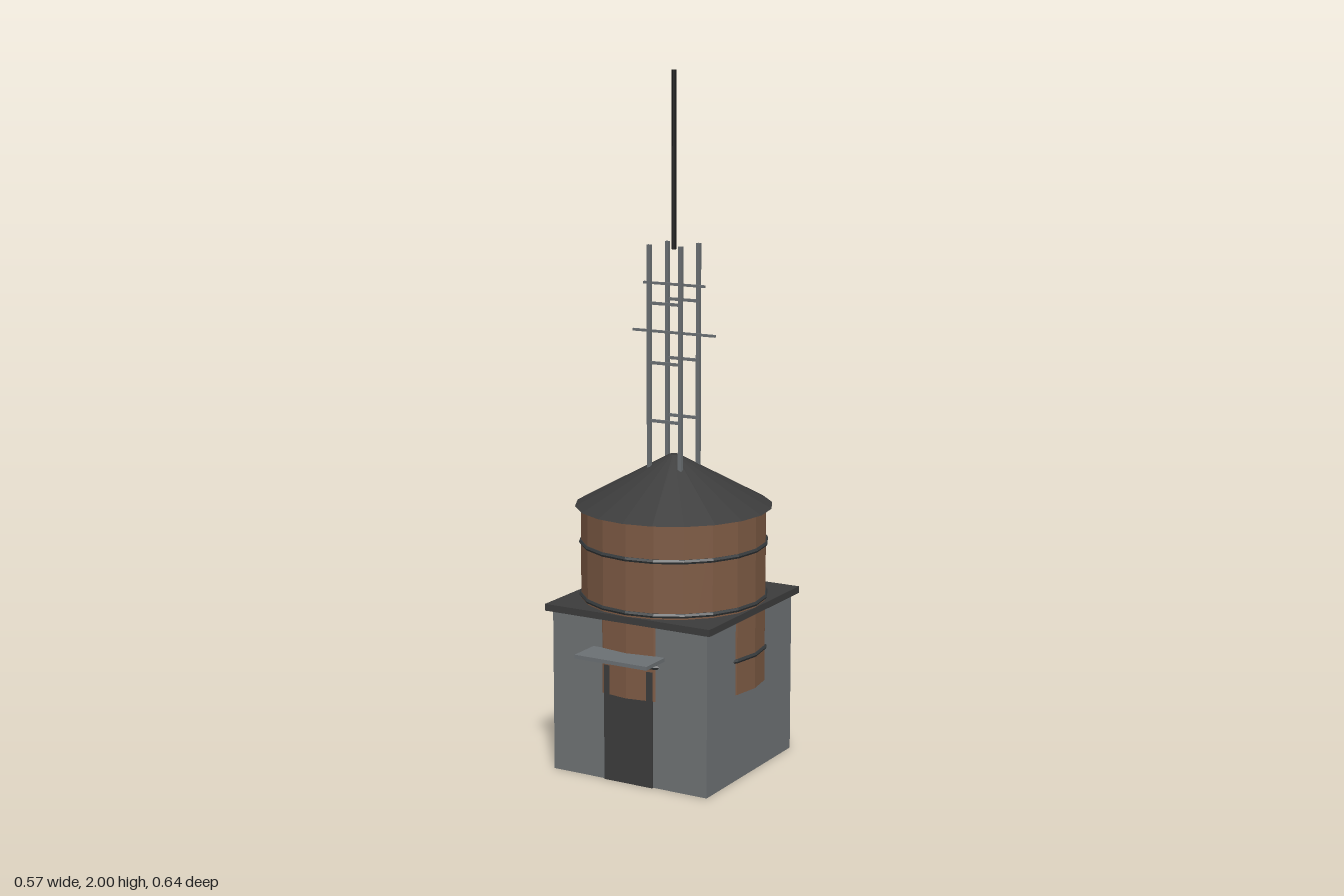
import * as THREE from 'three';

function mat(name, color, flatShading = true) {
  const m = new THREE.MeshStandardMaterial({ color, flatShading });
  m.name = name;
  return m;
}

export function createModel() {
  const wall = mat('concrete', 0x6e7274);
  const wood = mat('timber', 0x7d5a44);
  const dark = mat('darkRoofing', 0x3c3c3c);
  const steel = mat('steel', 0x6b7073);
  const iron = mat('ironBand', 0x363a3c);
  const black = mat('blackMast', 0x1c1c1c);

  const model = new THREE.Group();
  const tower = new THREE.Group();
  tower.name = 'waterTower';
  tower.position.z = -0.0355; // tower axis sits behind centre to balance the canopy
  model.add(tower);

  function add(name, geometry, material, x, y, z) {
    const mesh = new THREE.Mesh(geometry, material);
    mesh.name = name;
    mesh.position.set(x, y, z);
    tower.add(mesh);
    return mesh;
  }
  const box = (name, m, w, h, d, x, y, z) =>
    add(name, new THREE.BoxGeometry(w, h, d), m, x, y, z);

  // Square base house with a thin overhanging slab
  box('baseHouse', wall, 0.505, 0.475, 0.505, 0, 0.2375, 0);
  box('baseSlab', dark, 0.538, 0.02, 0.538, 0, 0.484, 0);

  // Door and entrance canopy
  box('door', dark, 0.158, 0.34, 0.01, 0, 0.17, 0.2535);
  box('canopy', steel, 0.234, 0.011, 0.11, 0, 0.382, 0.2975);

  // Twenty-sided tank, bulging through the walls of the base
  add('tank', new THREE.CylinderGeometry(0.268, 0.268, 0.51, 20), wood, 0, 0.51, 0);
  for (const y of [0.355, 0.505, 0.66]) {
    const band = new THREE.TorusGeometry(0.267, 0.007, 6, 20);
    band.rotateX(Math.PI / 2);
    add('tankBand', band, iron, 0, y, 0);
  }

  // Conical roof
  add('roof', new THREE.CylinderGeometry(0.014, 0.285, 0.147, 20), dark, 0, 0.8375, 0);

  // Lattice frame: two ladders of posts and rungs
  for (const z of [-0.051, 0.051]) {
    for (const x of [-0.051, 0.051]) {
      box('latticePost', steel, 0.011, 0.675, 0.011, x, 1.1775, z);
    }
    for (const y of [1.013, 1.18, 1.35]) {
      box('latticeRung', steel, 0.102, 0.008, 0.008, 0, y, z);
    }
  }

  // Aerial cross bars and the mast above them
  for (const [y, length] of [[1.262, 0.27], [1.4, 0.2]]) {
    box('aerialBar', steel, length, 0.007, 0.007, 0, y, 0);
  }
  add('mast', new THREE.CylinderGeometry(0.007, 0.007, 0.5, 8), black, 0, 1.75, 0);

  return model;
}
